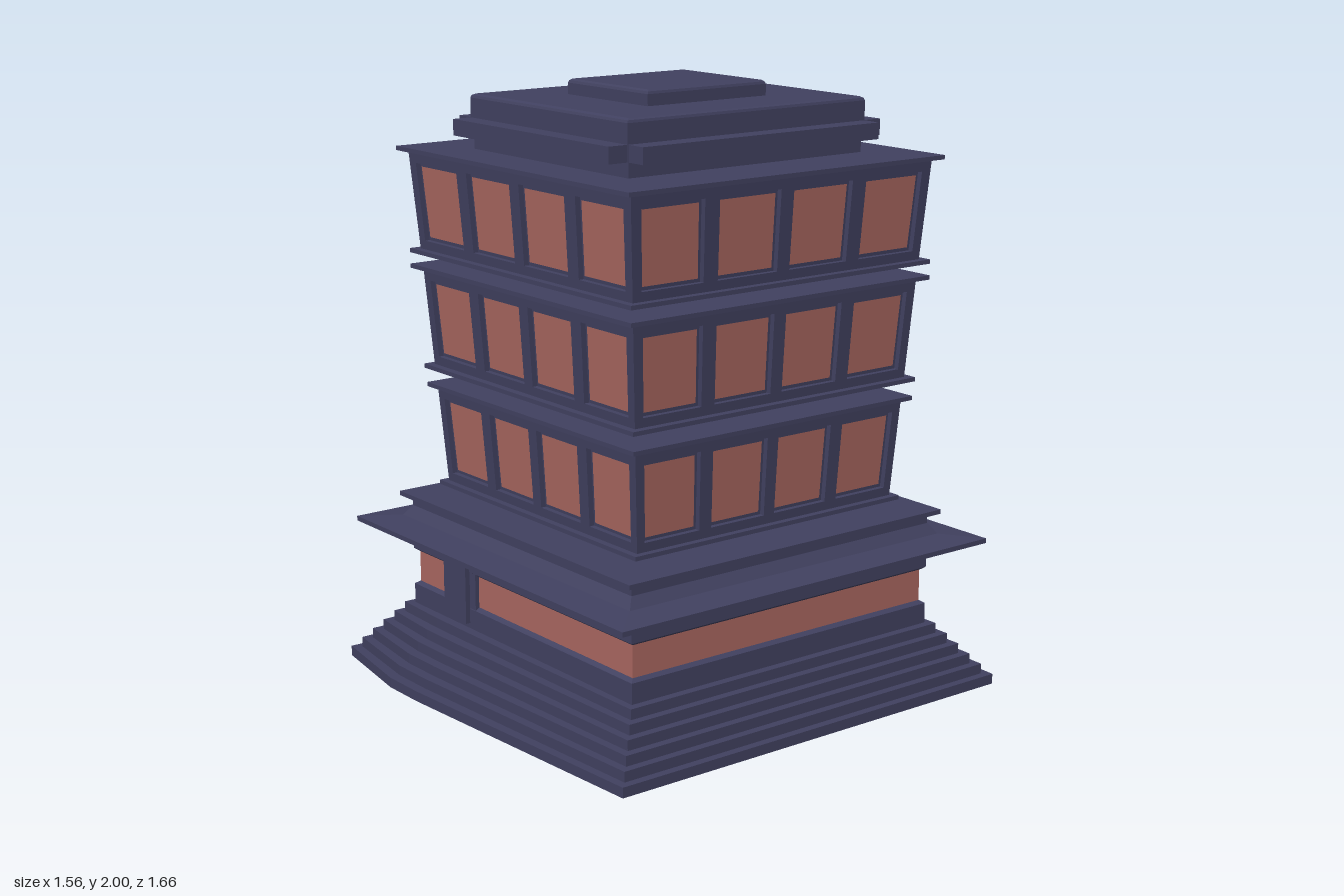
import * as THREE from 'three';

const navy = new THREE.MeshStandardMaterial({ color: 0x40405f, flatShading: true });
const glass = new THREE.MeshStandardMaterial({ color: 0xa8665f, flatShading: true });

export function createModel() {
  const model = new THREE.Group();

  function add(geometry, name, material = navy, parent = model) {
    const flat = geometry.index ? geometry.toNonIndexed() : geometry;
    flat.computeVertexNormals();
    const mesh = new THREE.Mesh(flat, material);
    mesh.name = name;
    parent.add(mesh);
    return mesh;
  }

  // Box from half width, half depth and its bottom and top heights
  function slab(name, hx, hz, y0, y1, material = navy, parent = model) {
    const g = new THREE.BoxGeometry(2 * hx, y1 - y0, 2 * hz);
    g.translate(0, (y0 + y1) / 2, 0);
    return add(g, name, material, parent);
  }

  // Four-sided solid from a profile of [half width, height], closed at both ends
  function squareLoft(name, profile, depthRatio = 1, parent = model) {
    const pts = profile.map(([h, y]) => new THREE.Vector2(h * Math.SQRT2, y));
    pts.unshift(new THREE.Vector2(0, profile[0][1]));
    pts.push(new THREE.Vector2(0, profile[profile.length - 1][1]));
    const g = new THREE.LatheGeometry(pts, 4);
    g.rotateY(Math.PI / 4);
    g.scale(1, 1, depthRatio);
    return add(g, name, navy, parent);
  }

  // Stepped plinth, bulging towards the two doors
  const stepCount = 6, rise = 0.034;
  for (let i = 0; i < stepCount; i++) {
    const t = i / (stepCount - 1);
    const hx = 0.778 - 0.138 * t, corner = 0.772 - 0.135 * t, bulge = 0.83 - 0.185 * t;
    const outline = [[hx, corner], [-0.27, bulge], [-0.43, bulge], [-hx, corner],
      [-hx, -corner], [-0.43, -bulge], [-0.27, -bulge], [hx, -corner]];
    const shape = new THREE.Shape(outline.map(([x, z]) => new THREE.Vector2(x, z)));
    const g = new THREE.ExtrudeGeometry(shape, { depth: rise, bevelEnabled: false });
    g.rotateX(-Math.PI / 2);
    g.translate(0, i * rise, 0);
    add(g, 'step');
  }

  // Ground floor: sill, window band, upper wall
  squareLoft('groundSill', [[0.612, 0.2], [0.612, 0.272], [0.598, 0.282]]);
  slab('groundWindowBand', 0.597, 0.597, 0.282, 0.388, glass);
  squareLoft('groundUpperWall', [[0.598, 0.388], [0.612, 0.398], [0.612, 0.48]]);

  // Doors at front and back
  for (const s of [1, -1]) {
    const bay = new THREE.BoxGeometry(0.19, 0.27, 0.03);
    bay.translate(-0.334, 0.335, s * 0.596);
    add(bay, 'doorBay');
    const door = new THREE.BoxGeometry(0.125, 0.23, 0.04);
    door.translate(-0.335, 0.337, s * 0.608);
    add(door, 'door');
  }

  // Wide eave with a concave skirt and a ledge
  squareLoft('eave', [[0.61, 0.474], [0.75, 0.488], [0.75, 0.504], [0.637, 0.515],
    [0.612, 0.55], [0.612, 0.583]]);
  slab('eaveLedge', 0.643, 0.643, 0.583, 0.598);

  // Upper storeys, widening upwards
  const recess = 0.018, border = 0.012;
  const columns = [[-0.92, -0.56], [-0.425, -0.063], [0.063, 0.425], [0.56, 0.92]];

  function storey({ y0, bottom, top, lower, upper, neck }) {
    const group = new THREE.Group();
    group.name = 'storey';
    model.add(group);
    const y1 = y0 + 0.34;
    const half = y => THREE.MathUtils.mapLinear(y, y0, y1, bottom, top);
    const w0 = y0 + 0.05, w1 = y0 + 0.283;

    slab('neck', neck[0], neck[1], neck[2], y0, navy, group);
    slab('lowerLedge', lower, lower, y0 - 0.006, y0 + 0.008, navy, group);
    slab('upperLedge', upper, upper, y1 - 0.008, y1 + 0.006, navy, group);
    squareLoft('storeyCore', [[bottom - recess, y0], [top - recess, y1]], 1, group);

    // Wall outline with four tapered openings
    const quad = (a, b, ya, yb, grow) => [
      new THREE.Vector2(a * half(ya) - grow, ya - grow), new THREE.Vector2(b * half(ya) + grow, ya - grow),
      new THREE.Vector2(b * half(yb) + grow, yb + grow), new THREE.Vector2(a * half(yb) - grow, yb + grow)];
    const wall = new THREE.Shape(quad(-1, 1, y0, y1, 0));
    for (const [a, b] of columns) wall.holes.push(new THREE.Path(quad(a, b, w0, w1, border).reverse()));

    // Lean a flat panel onto the sloping wall and mitre its corners
    const lean = (g, offset) => {
      const p = g.attributes.position;
      for (let i = 0; i < p.count; i++) {
        const z = half(p.getY(i)) + offset + p.getZ(i);
        p.setXYZ(i, THREE.MathUtils.clamp(p.getX(i), -z, z), p.getY(i), z);
      }
      return g;
    };

    for (let side = 0; side < 4; side++) {
      const face = new THREE.Group();
      face.name = 'storeySide';
      face.rotation.y = side * Math.PI / 2;
      group.add(face);
      add(lean(new THREE.ExtrudeGeometry(wall, { depth: recess, bevelEnabled: false }), -recess),
        'windowWall', navy, face);
      for (const [a, b] of columns) {
        const pane = new THREE.ShapeGeometry(new THREE.Shape(quad(a, b, w0, w1, 0)));
        add(lean(pane, 0.004 - recess), 'windowPane', glass, face);
      }
    }
  }

  storey({ y0: 0.634, bottom: 0.522, top: 0.545, lower: 0.545, upper: 0.57, neck: [0.42, 0.475, 0.59] });
  storey({ y0: 1.035, bottom: 0.55, top: 0.573, lower: 0.576, upper: 0.603, neck: [0.376, 0.428, 0.97] });
  storey({ y0: 1.425, bottom: 0.577, top: 0.602, lower: 0.603, upper: 0.63, neck: [0.4, 0.447, 1.37] });

  // Roof block, cross-shaped slab and raised cap
  squareLoft('roofBlock', [[0.413, 1.765], [0.413, 1.82], [0.42, 1.82], [0.42, 1.937],
    [0.417, 1.945], [0.408, 1.95]], 0.475 / 0.42);
  slab('roofCrossWide', 0.49, 0.472, 1.82, 1.873);
  slab('roofCrossDeep', 0.418, 0.544, 1.82, 1.873);
  squareLoft('roofCap', [[0.21, 1.945], [0.21, 1.987], [0.207, 1.995], [0.2, 2]], 0.238 / 0.21);

  return model;
}
